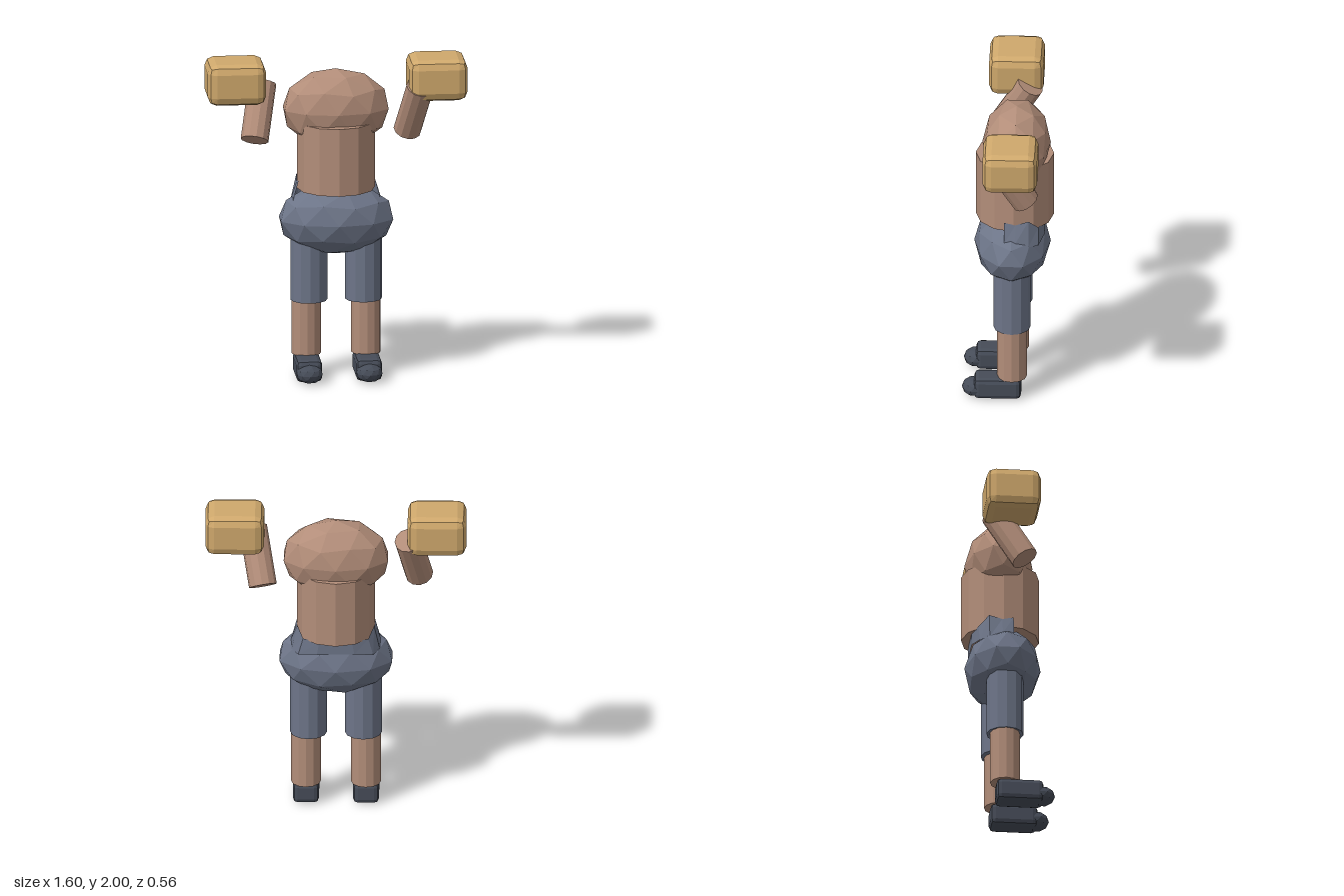
import * as THREE from 'three';
import { RoundedBoxGeometry } from 'three/addons/geometries/RoundedBoxGeometry.js';

const material = (name, color) => {
  const m = new THREE.MeshStandardMaterial({ color, flatShading: true });
  m.name = name;
  return m;
};

export function createModel() {
  const skin = material('skin', 0xb28d79);
  const slate = material('slate cloth', 0x6d7588);
  const shoe = material('dark shoe', 0x464c58);
  const gold = material('gold glove', 0xcfa86c);
  slate.side = THREE.DoubleSide;

  const group = new THREE.Group();
  const add = (name, geometry, mat, x = 0, y = 0, z = 0) => {
    const mesh = new THREE.Mesh(geometry, mat);
    mesh.name = name;
    mesh.position.set(x, y, z);
    group.add(mesh);
    return mesh;
  };

  // Faceted ball with a corner pointing straight up
  const ball = (rx, ry, rz) =>
    new THREE.IcosahedronGeometry(1, 1)
      .rotateZ(-Math.atan(2 / (1 + Math.sqrt(5))))
      .scale(rx, ry, rz);

  // Vertical cylinder given by its bottom and top heights
  const column = (name, r, y0, y1, mat, x, z) =>
    add(name, new THREE.CylinderGeometry(r, r, y1 - y0, 12), mat, x, (y0 + y1) / 2, z);

  // Body
  add('chest', ball(0.336, 0.249, 0.21), skin, 0, 1.681, -0.05);
  column('torso', 0.24, 1.18, 1.605, skin, 0, -0.04);
  add('hips', ball(0.363, 0.225, 0.235), slate, 0, 0.99, -0.025);

  // Ragged waistband round the sides and back: x, z, top y, bottom y
  const half = [
    [0.235, 0.02, 1.24, 1.11],
    [0.24, -0.05, 1.225, 1.115],
    [0.235, -0.13, 1.25, 1.09],
    [0.2, -0.19, 1.19, 1.08],
    [0.1, -0.225, 1.18, 1.1],
  ];
  const ring = [...half, ...half.map(([x, z, t, b]) => [-x, z, t, b]).reverse()];
  const positions = [];
  const index = [];
  ring.forEach(([x, z, top, bottom], i) => {
    positions.push(x, top, z, x * 1.15, bottom, z);
    if (i) {
      const k = 2 * i;
      index.push(k - 2, k, k - 1, k, k + 1, k - 1);
    }
  });
  const band = new THREE.BufferGeometry();
  band.setAttribute('position', new THREE.Float32BufferAttribute(positions, 3));
  band.setIndex(index);
  band.computeVertexNormals();
  add('waistband', band, slate);

  for (const s of [1, -1]) {
    const side = s > 0 ? 'left' : 'right';

    // Legs and shoes
    column(side + 'TrouserLeg', 0.114, 0.478, 0.95, slate, s * 0.168, -0.027);
    column(side + 'Shin', 0.091, 0.14, 0.5, skin, s * 0.184, -0.028);
    add(side + 'Shoe', new RoundedBoxGeometry(0.16, 0.138, 0.29, 1, 0.03), shoe, s * 0.184, 0.076, 0.06);
    add(side + 'Toe', ball(0.082, 0.058, 0.08), shoe, s * 0.184, 0.062, 0.2);

    // Forearms lean opposite ways, one forward and one back
    const bottom = new THREE.Vector3(s > 0 ? 0.447 : -0.51, 1.515, s > 0 ? -0.12 : 0.06);
    const top = new THREE.Vector3(s > 0 ? 0.51 : -0.445, 1.83, s > 0 ? 0.065 : -0.12);
    const axis = top.clone().sub(bottom);
    const arm = add(side + 'Forearm', new THREE.CylinderGeometry(0.086, 0.086, axis.length(), 12), skin);
    arm.position.copy(bottom).add(top).multiplyScalar(0.5);
    arm.quaternion.setFromUnitVectors(new THREE.Vector3(0, 1, 0), axis.normalize());

    // Big block gloves
    add(side + 'Glove', new RoundedBoxGeometry(0.36, 0.257, 0.335, 1, 0.055), gold, s * 0.62, 1.872, -0.032);
  }
  return group;
}
